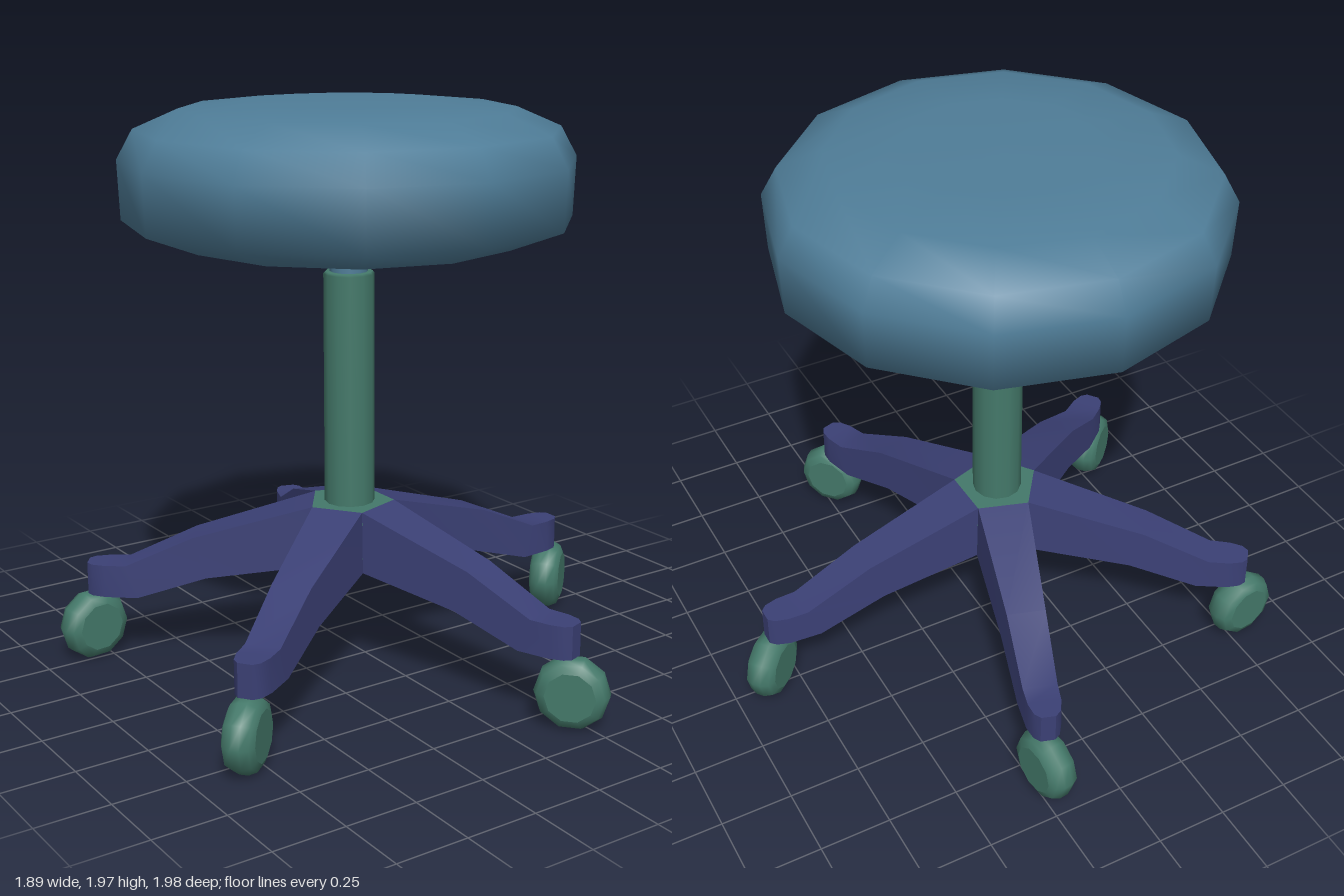
import * as THREE from 'three';
import { mergeGeometries, toCreasedNormals } from 'three/addons/utils/BufferGeometryUtils.js';

const CENTRE_X = -0.065;
const ARMS = 5;
const deg = THREE.MathUtils.degToRad;

function material(name, color) {
  const m = new THREE.MeshStandardMaterial({ color });
  m.name = name;
  return m;
}

function add(parent, name, geometry, mat, y = 0) {
  const mesh = new THREE.Mesh(geometry, mat);
  mesh.name = name;
  mesh.position.y = y;
  parent.add(mesh);
  return mesh;
}

const profile = (pairs) => pairs.map(([r, y]) => new THREE.Vector2(r, y));

// Arm running out along +x, lofted through four-cornered sections
function armGeometry() {
  // [top radius, top y, top half width, bottom radius, bottom y, bottom half width]
  const sections = [
    [0.125, 0.59, 0.091, 0.133, 0.375, 0.097],
    [0.545, 0.465, 0.068, 0.5, 0.32, 0.078],
    [0.785, 0.355, 0.06, 0.745, 0.24, 0.068],
    [0.86, 0.355, 0.057, 0.86, 0.24, 0.06],
    [0.905, 0.355, 0.045, 0.905, 0.24, 0.045],
    [0.925, 0.355, 0.025, 0.925, 0.24, 0.025],
  ];
  const positions = [];
  const index = [];
  for (const [rt, yt, ht, rb, yb, hb] of sections) {
    positions.push(rt, yt, ht, rb, yb, hb, rb, yb, -hb, rt, yt, -ht);
  }
  for (let i = 0; i < sections.length - 1; i++) {
    for (let j = 0; j < 4; j++) {
      const a = i * 4 + j;
      const b = i * 4 + ((j + 1) % 4);
      index.push(a, b, b + 4, a, b + 4, a + 4);
    }
  }
  const e = (sections.length - 1) * 4;
  index.push(e, e + 1, e + 2, e, e + 2, e + 3);
  const g = new THREE.BufferGeometry();
  g.setAttribute('position', new THREE.Float32BufferAttribute(positions, 3));
  g.setIndex(index);
  return toCreasedNormals(g, 0.7);
}

// Ten-sided wheel with a rounded rim and flat faces, axle along z
function casterGeometry() {
  const rim = new THREE.LatheGeometry(
    profile([[0.085, -0.055], [0.112, -0.043], [0.125, -0.015], [0.125, 0.015], [0.112, 0.043], [0.085, 0.055]]),
    10, Math.PI / 2);
  rim.rotateX(Math.PI / 2);
  const front = new THREE.CircleGeometry(0.085, 10).translate(0, 0, 0.055);
  const back = front.clone().rotateY(Math.PI);
  return mergeGeometries([rim, front, back]);
}

export function createModel() {
  const blue = material('blue upholstery', 0x4f7d98);
  const green = material('green column', 0x44796a);
  const purple = material('purple base', 0x3b4075);

  const stool = new THREE.Group();
  stool.name = 'stool';
  const body = new THREE.Group();
  body.name = 'body';
  body.position.x = CENTRE_X;
  stool.add(body);

  // Twelve-sided cushion with a flat underside
  add(body, 'seatCushion', new THREE.LatheGeometry(profile([
    [0.575, 1.51], [0.757, 1.58], [0.765, 1.78], [0.71, 1.88], [0.56, 1.945], [0.315, 1.968], [0, 1.97],
  ]), 12), blue);
  add(body, 'seatUnderside', new THREE.CircleGeometry(0.575, 12).rotateX(Math.PI / 2), blue, 1.51);

  // Gas lift and outer column
  add(body, 'piston', new THREE.CylinderGeometry(0.065, 0.065, 0.13, 12), blue, 1.45);
  add(body, 'column', new THREE.LatheGeometry(profile([
    [0.087, 0.57], [0.087, 1.392], [0.08, 1.4], [0.06, 1.4],
  ]), 12), green);

  // Pentagonal hub closing the middle of the base
  add(body, 'hub', new THREE.CylinderGeometry(0.155, 0.165, 0.215, ARMS, 1, false, -Math.PI / 2), green, 0.4825);

  // Five arms, each with a caster swivelled its own way
  const arm = armGeometry();
  const caster = casterGeometry();
  const casterYaw = [40, 97, 7, 40, -49];
  for (let i = 0; i < ARMS; i++) {
    const angle = (i * 2 * Math.PI) / ARMS;
    add(body, 'arm', arm, purple).rotation.y = angle;
    const wheel = add(body, 'caster', caster, green);
    wheel.position.set(0.915 * Math.cos(angle), 0.119, -0.915 * Math.sin(angle));
    wheel.rotation.y = deg(casterYaw[i]);
  }
  return stool;
}
